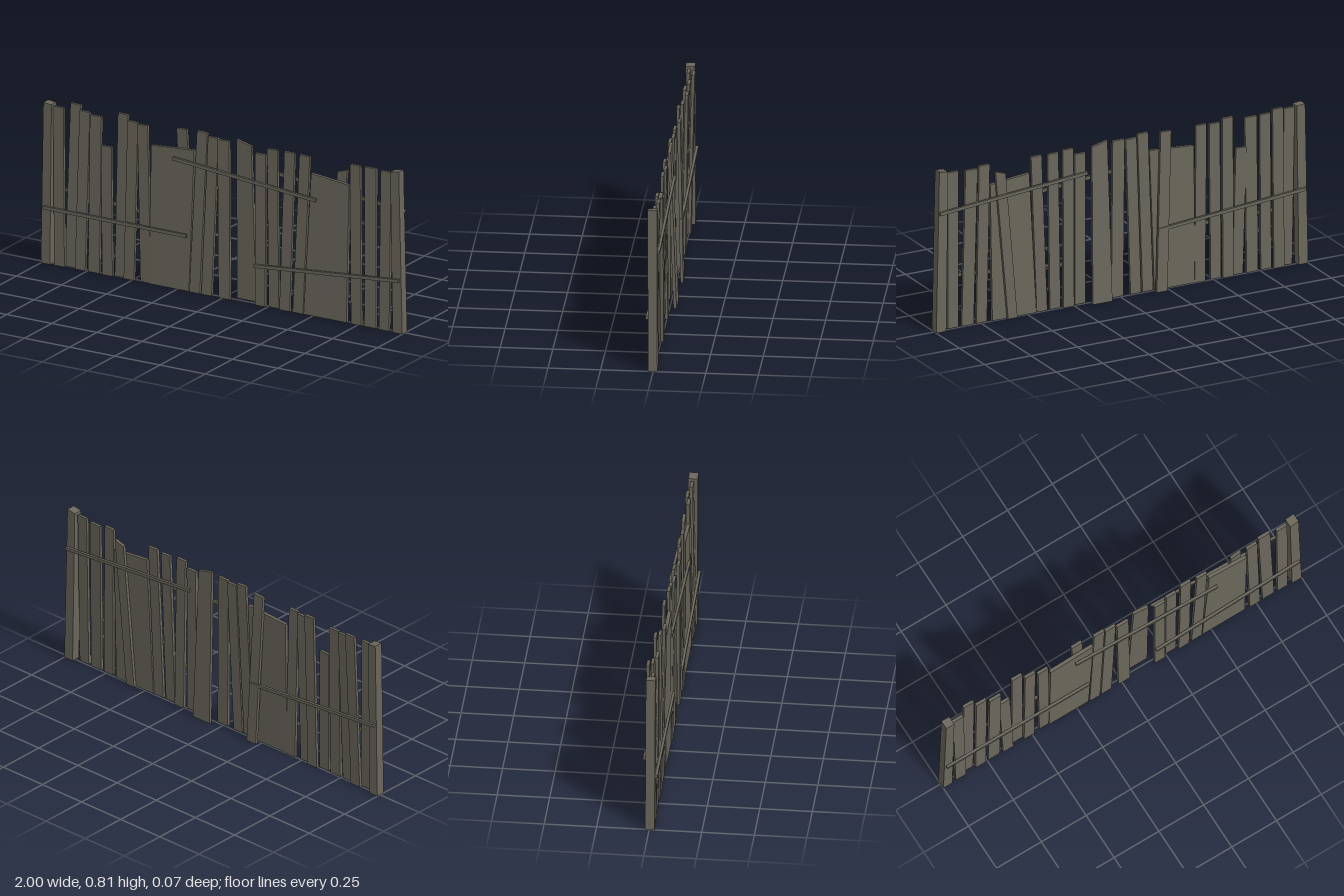
import * as THREE from 'three';

const wood = new THREE.MeshStandardMaterial({ color: 0x6a665b });
wood.name = 'weatheredWood';

// Upright board: a box whose corners are moved to lean and cut at a slant.
// b/t = [left, right] at the bottom/top, h = [left, right] heights, z = [bottom, top] centres
function board(name, b, t, h, z, depth) {
  const geo = new THREE.BoxGeometry(1, 1, 1);
  const p = geo.attributes.position;
  for (let i = 0; i < p.count; i++) {
    const side = p.getX(i) > 0 ? 1 : 0;
    const top = p.getY(i) > 0;
    p.setXYZ(i, top ? t[side] : b[side], top ? h[side] : 0,
      (top ? z[1] : z[0]) + p.getZ(i) * depth);
  }
  geo.computeVertexNormals();
  const mesh = new THREE.Mesh(geo, wood);
  mesh.name = name;
  return mesh;
}

// Narrow board given by its centre line; the top is cut square to its lean
function picket(name, xBottom, xTop, height, zBottom, zTop, width = 0.057) {
  const r = width / 2;
  const drop = r * (xTop - xBottom) / height;
  return board(name, [xBottom - r, xBottom + r], [xTop - r, xTop + r],
    [height + drop, height - drop], [zBottom, zTop], 0.015);
}

// Thin batten nailed across the boards between two points
function rail(name, x0, y0, x1, y1, z) {
  const geo = new THREE.BoxGeometry(Math.hypot(x1 - x0, y1 - y0), 0.016, 0.013);
  const mesh = new THREE.Mesh(geo, wood);
  mesh.position.set((x0 + x1) / 2, (y0 + y1) / 2, z);
  mesh.rotation.z = Math.atan2(y1 - y0, x1 - x0);
  mesh.name = name;
  return mesh;
}

export function createModel() {
  const fence = new THREE.Group();
  fence.name = 'fence';

  // End posts
  fence.add(board('rightPost', [-1, -0.95], [-0.985, -0.94], [0.807, 0.803], [0.003, 0.005], 0.045));
  fence.add(board('leftPost', [0.947, 1], [0.935, 0.982], [0.802, 0.81], [0.003, 0.005], 0.045));

  // Pickets: x bottom, x top, height, z bottom, z top, width if unusual
  const pickets = [
    [-0.9, -0.91, 0.793, 0.015, 0.008],
    [-0.85, -0.832, 0.813, -0.002, -0.022],
    [-0.787, -0.772, 0.791, 0.012, -0.006],
    [-0.712, -0.703, 0.785, 0.01, 0.008, 0.063],
    [-0.635, -0.648, 0.641, 0.014, 0.002],
    [-0.575, -0.566, 0.813, -0.002, -0.016],
    [-0.517, -0.503, 0.79, 0.012, 0],
    [-0.428, -0.44, 0.789, 0.006, 0.014],
    [-0.207, -0.237, 0.799, -0.027, -0.009],
    [-0.152, -0.118, 0.808, 0.014, 0.001],
    [-0.087, -0.056, 0.791, 0.013, 0.002],
    [0.012, 0.006, 0.791, 0.014, 0.012, 0.064],
    [0.182 + 0.029, 0.212, 0.76, 0.015, 0.013],
    [0.279, 0.277, 0.793, 0.002, 0.012],
    [0.346, 0.365, 0.791, 0.014, 0],
    [0.418, 0.452, 0.791, 0.012, 0.006],
    [0.742, 0.731, 0.795, 0.014, 0.006],
    [0.818, 0.808, 0.791, 0.012, -0.008, 0.064],
    [0.896, 0.9, 0.792, 0.014, 0.003],
  ];
  pickets.forEach((row, i) => fence.add(picket('picket' + (i + 1), ...row)));

  // Two boards with strongly slanted tops
  fence.add(board('wideBoard', [0.06, 0.165], [0.072, 0.155], [0.805, 0.785], [-0.026, 0.002], 0.015));
  fence.add(board('shortBoard', [0.56, 0.61], [0.625, 0.68], [0.74, 0.757], [-0.006, -0.009], 0.015));

  // Broad sheets filling the gaps
  fence.add(board('rightSheet', [-0.405, -0.185], [-0.395, -0.157], [0.695, 0.711], [0.01, 0.008], 0.017));
  fence.add(board('leftSheet', [0.45, 0.687], [0.49, 0.70], [0.712, 0.69], [0.01, 0.008], 0.017));

  // Front and back rails
  fence.add(rail('frontRailRight', -0.985, 0.283, -0.19, 0.281, 0.032));
  fence.add(rail('frontRailMiddle', -0.265, 0.657, 0.525, 0.587, 0.032));
  fence.add(rail('frontRailLeft', 0.185, 0.199, 0.985, 0.266, 0.032));
  fence.add(rail('backRailRight', -0.985, 0.38, -0.19, 0.312, -0.025));
  fence.add(rail('backRailLeft', 0.19, 0.669, 0.985, 0.6, -0.025));
  return fence;
}
